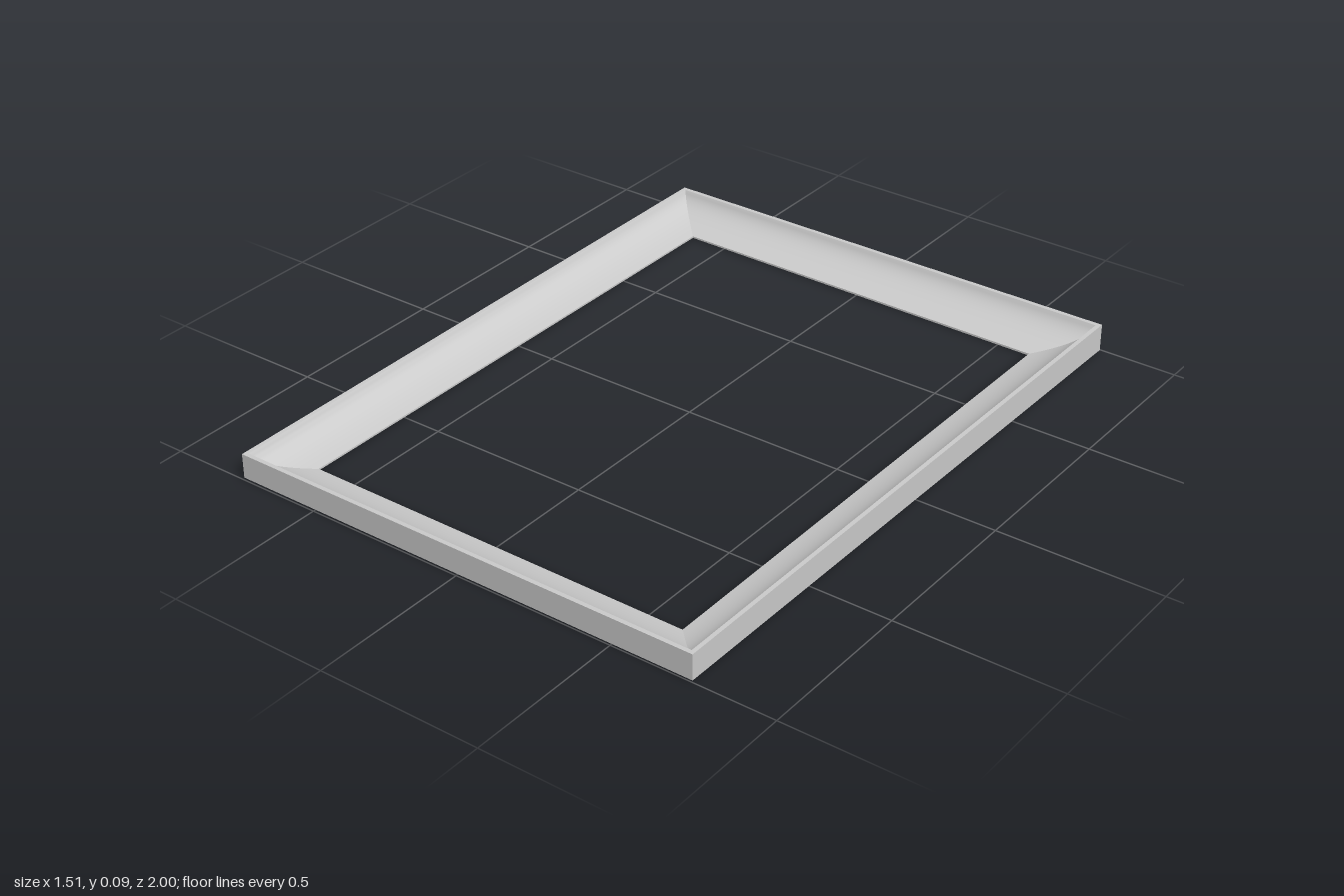
import * as THREE from 'three';
import { toCreasedNormals } from 'three/addons/utils/BufferGeometryUtils.js';

// Corners, counterclockwise from above: outer x/z, inner x/z, base height.
// The frame is very slightly out of square and out of level.
const CORNERS = [
  { outer: [-0.757, 0.998], inner: [-0.62, 0.852], base: 0.008 },
  { outer: [0.751, 0.998], inner: [0.612, 0.852], base: 0.006 },
  { outer: [0.757, -0.998], inner: [0.606, -0.846], base: 0.002 },
  { outer: [-0.757, -0.993], inner: [-0.62, -0.853], base: 0.004 },
];
const HEIGHTS = [0.075, 0.078, 0.085, 0.081];
const NAMES = ['frontRail', 'rightRail', 'backRail', 'leftRail'];
NAMES[1] = 'leftRail'; // the model's own left is +x
NAMES[3] = 'rightRail';

// Moulding section: x = 0 outer to 1 inner, y = 0 base to 1 rim
function mouldingProfile() {
  const cove = new THREE.QuadraticBezierCurve(
    new THREE.Vector2(0.1, 0.97), new THREE.Vector2(0.22, 0.33), new THREE.Vector2(1, 0.07));
  return [
    new THREE.Vector2(0, 0),
    new THREE.Vector2(0, 1),
    new THREE.Vector2(0.09, 1),
    ...cove.getPoints(14),
    new THREE.Vector2(1, 0),
  ];
}

// Place a section point on the mitre line of a corner
function mitrePoint(i, p) {
  const { outer, inner, base } = CORNERS[i];
  return [
    THREE.MathUtils.lerp(outer[0], inner[0], p.x),
    base + HEIGHTS[i] * p.y,
    THREE.MathUtils.lerp(outer[1], inner[1], p.x),
  ];
}

// One rail: the section swept straight from corner i to the next
function railGeometry(i, profile) {
  const j = (i + 1) % 4;
  const positions = [];
  profile.forEach((p, k) => {
    const q = profile[(k + 1) % profile.length];
    const a = mitrePoint(i, p), b = mitrePoint(j, p);
    const c = mitrePoint(j, q), d = mitrePoint(i, q);
    positions.push(...a, ...b, ...c, ...a, ...c, ...d);
  });
  const geometry = new THREE.BufferGeometry();
  geometry.setAttribute('position', new THREE.Float32BufferAttribute(positions, 3));
  return toCreasedNormals(geometry, 0.5);
}

export function createModel() {
  const group = new THREE.Group();
  group.name = 'pictureFrame';
  const material = new THREE.MeshStandardMaterial({ color: 0xcccccc });
  const profile = mouldingProfile();
  NAMES.forEach((name, i) => {
    const rail = new THREE.Mesh(railGeometry(i, profile), material);
    rail.name = name;
    group.add(rail);
  });
  return group;
}
